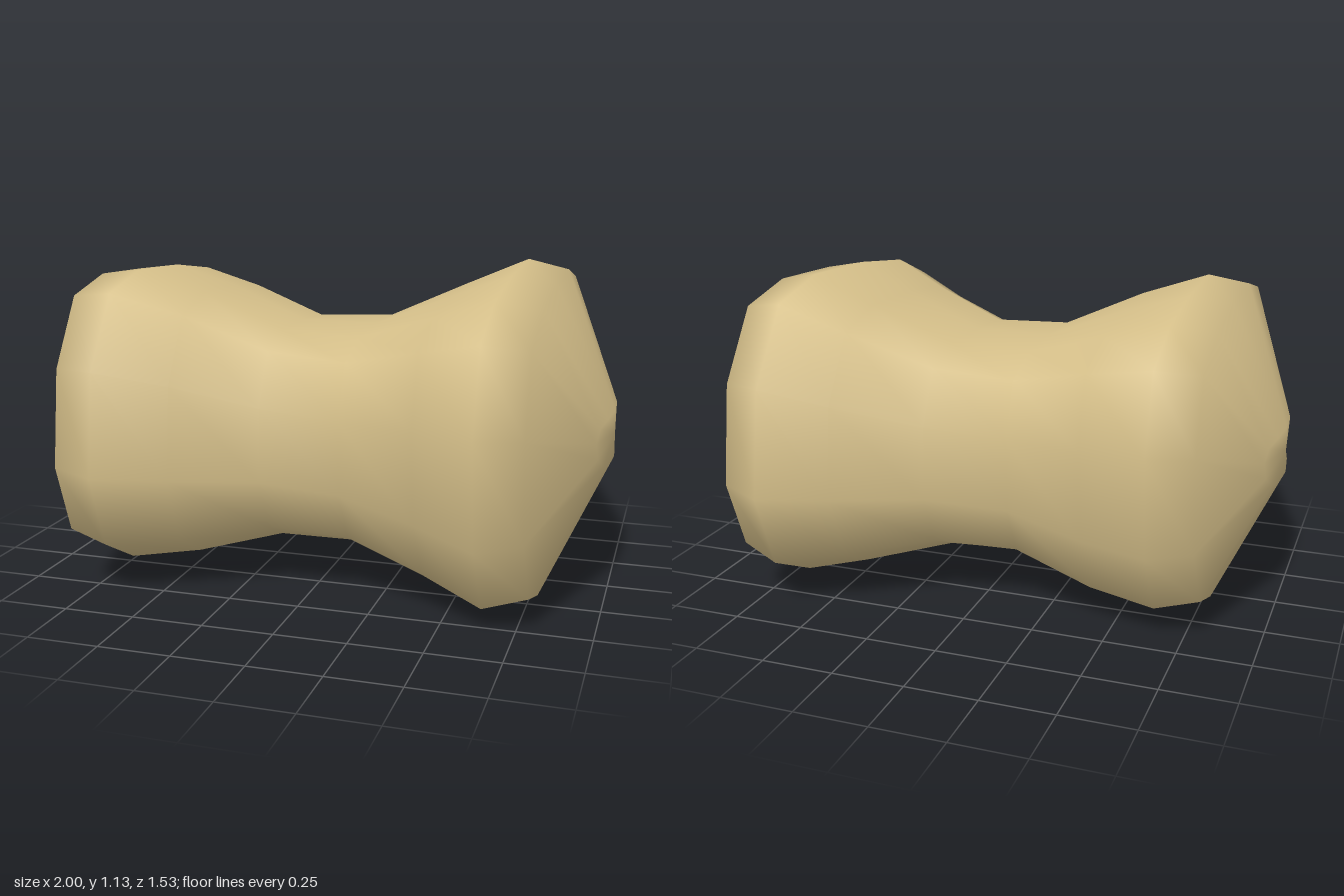
import * as THREE from 'three';

// Unit cross-section [z, y], from the front over the top to the back and under.
const SECTION = [
  [1, 0.23], [0.89, 0.72], [0.57, 0.89], [0.13, 0.97], [-0.36, 1], [-0.7, 0.9],
  [-0.93, 0.45], [-1, -0.2], [-0.86, -0.68], [-0.55, -0.89], [-0.08, -1],
  [0.39, -0.99], [0.7, -0.86], [0.93, -0.42],
];
// The same section tilted the other way, with matching point order.
const MIRRORED = SECTION.map((_, j) => {
  const [z, y] = SECTION[(6 - j + SECTION.length) % SECTION.length];
  return [-z, y];
});

// Stations along the body: x, bottom, top, back, front, share of the mirrored tilt.
const STATIONS = [
  [-1, 0.48, 0.66, -0.22, 0.27, 1],
  [-0.8, 0.07, 1.09, -0.575, 0.685, 1],
  [-0.65, 0.03, 1.11, -0.615, 0.73, 1],
  [-0.42, 0.06, 1.04, -0.555, 0.62, 0.9],
  [-0.14, 0.14, 0.925, -0.465, 0.495, 0.65],
  [0.14, 0.14, 0.925, -0.515, 0.495, 0.35],
  [0.42, 0.06, 1.04, -0.67, 0.62, 0.1],
  [0.64, 0, 1.13, -0.765, 0.765, 0],
  [0.79, 0.045, 1.1, -0.7, 0.72, 0],
  [1, 0.48, 0.66, -0.25, 0.27, 0],
];

function loftedBody() {
  const n = SECTION.length;
  const last = STATIONS.length - 1;
  const positions = [];
  const index = [];

  STATIONS.forEach(([x, bottom, top, back, front, tilt]) => {
    for (let j = 0; j < n; j++) {
      const sz = THREE.MathUtils.lerp(SECTION[j][0], MIRRORED[j][0], tilt);
      const sy = THREE.MathUtils.lerp(SECTION[j][1], MIRRORED[j][1], tilt);
      // The end rings curve inward toward the front and back.
      const bow = Math.abs(x) === 1 ? 1 - 0.04 * sz * sz : 1;
      positions.push(
        x * bow,
        (top + bottom) / 2 + sy * (top - bottom) / 2,
        (front + back) / 2 + sz * (front - back) / 2,
      );
    }
  });

  // Skin between neighbouring rings
  for (let i = 0; i < last; i++) {
    for (let j = 0; j < n; j++) {
      const k = (j + 1) % n;
      const a = i * n + j, b = i * n + k;
      index.push(a, a + n, b, b, a + n, b + n);
    }
  }

  // Blunt ends
  const centre = positions.length / 3;
  positions.push(-1, 0.57, 0.01, 1, 0.57, 0.01);
  for (let j = 0; j < n; j++) {
    const k = (j + 1) % n;
    index.push(centre, j, k);
    index.push(centre + 1, last * n + k, last * n + j);
  }

  const geometry = new THREE.BufferGeometry();
  geometry.setAttribute('position', new THREE.Float32BufferAttribute(positions, 3));
  geometry.setIndex(index);
  geometry.computeVertexNormals();
  return geometry;
}

export function createModel() {
  const group = new THREE.Group();
  group.name = 'waistedBody';
  const material = new THREE.MeshStandardMaterial({ color: 0xd6c08a });
  const body = new THREE.Mesh(loftedBody(), material);
  body.name = 'body';
  group.add(body);
  return group;
}
